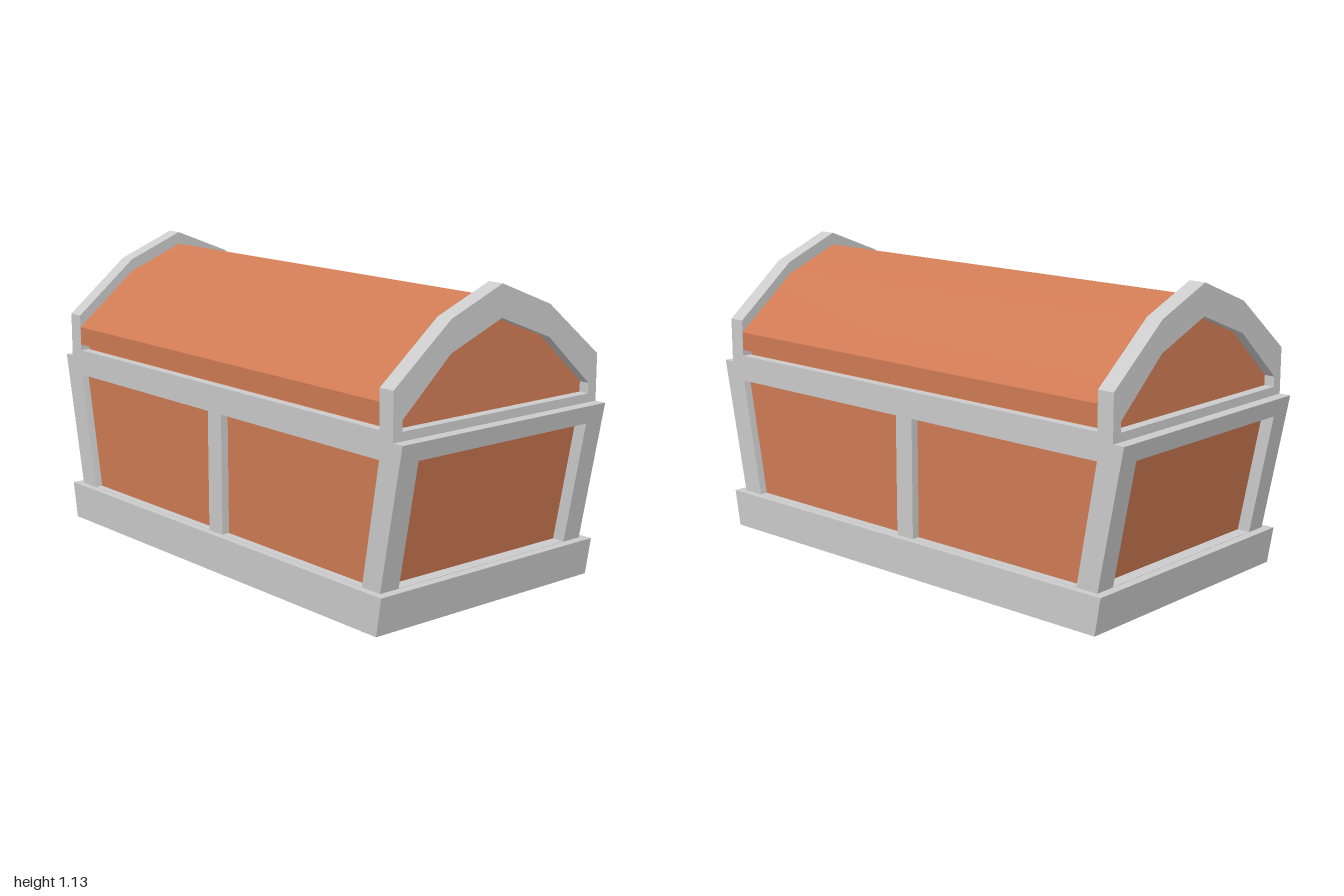
import * as THREE from 'three';
import { toCreasedNormals } from 'three/addons/utils/BufferGeometryUtils.js';

const grey = new THREE.MeshStandardMaterial({ color: 0xcccccc });
const brown = new THREE.MeshStandardMaterial({ color: 0xcf7b54 });

const SLOPE = 0.192; // outward lean of the chest ends
const leanX = (x, y) => x + (y - 0.14) * SLOPE;
const points = (list) => list.map(([x, y]) => new THREE.Vector2(x, y));

// Mirrors a half profile, listed from bottom to top, across x = 0
function mirrored(half) {
  const left = half.filter(([x]) => x > 0).reverse().map(([x, y]) => [-x, y]);
  return [...half, ...left];
}

// Extrudes an outline with holes from depth z0 to z1
function slab(outline, holes, z0, z1) {
  const shape = new THREE.Shape(points(outline));
  for (const hole of holes) shape.holes.push(new THREE.Path(points(hole)));
  const geo = new THREE.ExtrudeGeometry(shape, { depth: z1 - z0, bevelEnabled: false });
  return geo.translate(0, 0, z0);
}

export function createModel() {
  const chest = new THREE.Group();
  chest.name = 'chest';
  const add = (name, geo, material) => {
    const mesh = new THREE.Mesh(toCreasedNormals(geo, 0.5), material);
    mesh.name = name;
    chest.add(mesh);
    return mesh;
  };

  // Plinth with slightly flared ends, and the boarded floor beneath it
  add('plinth', slab(mirrored([[0.912, 0], [0.935, 0.14]]), [], -0.515, 0.515), grey);
  const floor = new THREE.PlaneGeometry(1.66, 0.92).rotateX(Math.PI / 2).translate(0, -0.001, 0);
  add('floor', floor, brown);

  // Wooden body behind the frames
  const bodySide = [[leanX(0.85, 0.1), 0.1], [leanX(0.85, 0.64), 0.64]];
  add('body', slab(mirrored(bodySide), [], -0.458, 0.458), brown);

  // Front and back frames: leaning posts, centre post and raised top rail
  const frame = mirrored([[0.9, 0.14], [1, 0.66], [0.89, 0.66], [0.89, 0.692]]);
  const pane = [[0.04, 0.14], [0.81, 0.14], [0.89, 0.592], [0.04, 0.592]].map(([x, y]) => [x, Math.max(y, 0.141)]);
  const panes = [pane, pane.map(([x, y]) => [-x, y])];
  for (const side of [1, -1]) {
    const geo = slab(frame, panes, 0.452, 0.488);
    if (side < 0) geo.rotateY(Math.PI);
    add(side > 0 ? 'frontFrame' : 'backFrame', geo, grey);
  }

  // Leaning end frames
  const endOutline = mirrored([[0.486, 0.14], [0.486, 0.66]]);
  const endPane = mirrored([[0.405, 0.141], [0.405, 0.595]]);
  for (const side of [1, -1]) {
    const geo = slab(endOutline, [endPane], 0.84, 0.9).rotateY(Math.PI / 2);
    const pos = geo.attributes.position;
    for (let i = 0; i < pos.count; i++) pos.setX(i, leanX(pos.getX(i), pos.getY(i)));
    geo.computeVertexNormals();
    if (side < 0) geo.rotateY(Math.PI);
    add(side > 0 ? 'leftEndFrame' : 'rightEndFrame', geo, grey);
  }

  // Deck that closes the top of the body
  add('deck', new THREE.BoxGeometry(1.78, 0.06, 0.93).translate(0, 0.661, 0), brown);

  // Lid: inset core that shows in the end arches, and an overhanging roof
  const corePoints = mirrored([[0.447, 0.692], [0.447, 0.73], [0.235, 0.92], [0, 1.012]]);
  add('lidCore', slab(corePoints, [], -0.915, 0.915).rotateY(Math.PI / 2), brown);
  const roof = mirrored([[0.487, 0.715], [0.487, 0.785], [0.235, 0.988], [0, 1.08]]);
  add('lidRoof', slab(roof, [], -0.89, 0.89).rotateY(Math.PI / 2), brown);

  // Arched grey frames on both ends of the lid
  const arch = mirrored([[0.488, 0.655], [0.488, 0.832], [0.235, 1.035], [0, 1.128]]);
  for (const side of [1, -1]) {
    const geo = slab(arch, [corePoints], 0.89, 0.955).rotateY(side * Math.PI / 2);
    add(side > 0 ? 'leftLidArch' : 'rightLidArch', geo, grey);
  }
  return chest;
}
